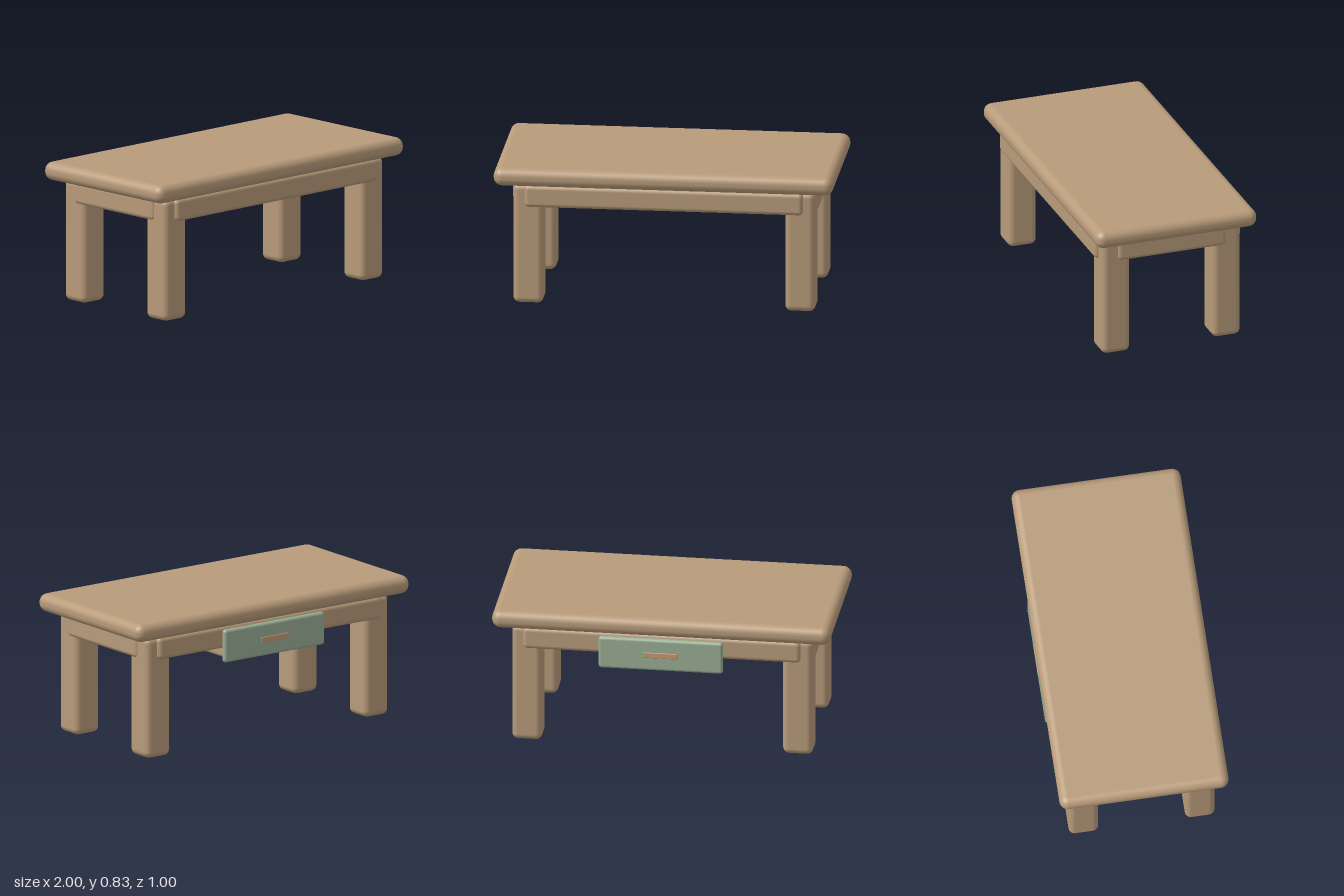
import * as THREE from 'three';
import { RoundedBoxGeometry } from 'three/addons/geometries/RoundedBoxGeometry.js';

export function createModel() {
  const table = new THREE.Group();
  table.name = 'table';

  const material = (name, color) => {
    const m = new THREE.MeshStandardMaterial({ color });
    m.name = name;
    return m;
  };
  const wood = material('wood', 0xb89b7a);
  const sage = material('sage green', 0x98ad93);
  const handleWood = material('handle wood', 0xc49a70);

  // Rounded block given by its extents on each axis
  function block(name, [x0, x1], [y0, y1], [z0, z1], radius, mat = wood, parent = table) {
    const mesh = new THREE.Mesh(new RoundedBoxGeometry(x1 - x0, y1 - y0, z1 - z0, 4, radius), mat);
    mesh.name = name;
    mesh.position.set((x0 + x1) / 2, (y0 + y1) / 2, (z0 + z1) / 2);
    parent.add(mesh);
    return mesh;
  }
  // Extents from a to b, mirrored to the negative side when s is -1
  const side = (s, a, b) => (s > 0 ? [a, b] : [-b, -a]);

  block('tableTop', [-1, 1], [0.725, 0.834], [-0.5, 0.5], 0.05);

  // Four thick legs
  for (const sx of [-1, 1]) {
    for (const sz of [-1, 1]) {
      const name = (sz > 0 ? 'front' : 'back') + (sx > 0 ? 'Left' : 'Right') + 'Leg';
      block(name, side(sx, 0.712, 0.889), [0, 0.727], side(sz, 0.256, 0.432), 0.036);
    }
  }

  // Aprons standing slightly proud of the legs
  for (const s of [-1, 1]) {
    block(s > 0 ? 'frontApron' : 'backApron', [-0.82, 0.82], [0.592, 0.726], side(s, 0.365, 0.456), 0.026);
    block(s > 0 ? 'leftApron' : 'rightApron', side(s, 0.8, 0.9), [0.592, 0.726], [-0.339, 0.339], 0.026);
  }

  // Drawer opening towards the back
  const drawer = new THREE.Group();
  drawer.name = 'drawer';
  table.add(drawer);
  block('drawerBox', [-0.345, 0.345], [0.532, 0.7], [-0.462, -0.01], 0.022, wood, drawer);
  block('drawerFront', [-0.367, 0.367], [0.514, 0.712], [-0.496, -0.457], 0.018, sage, drawer);
  block('drawerHandle', [-0.1, 0.1], [0.596, 0.63], [-0.5, -0.488], 0.004, handleWood, drawer);

  return table;
}
